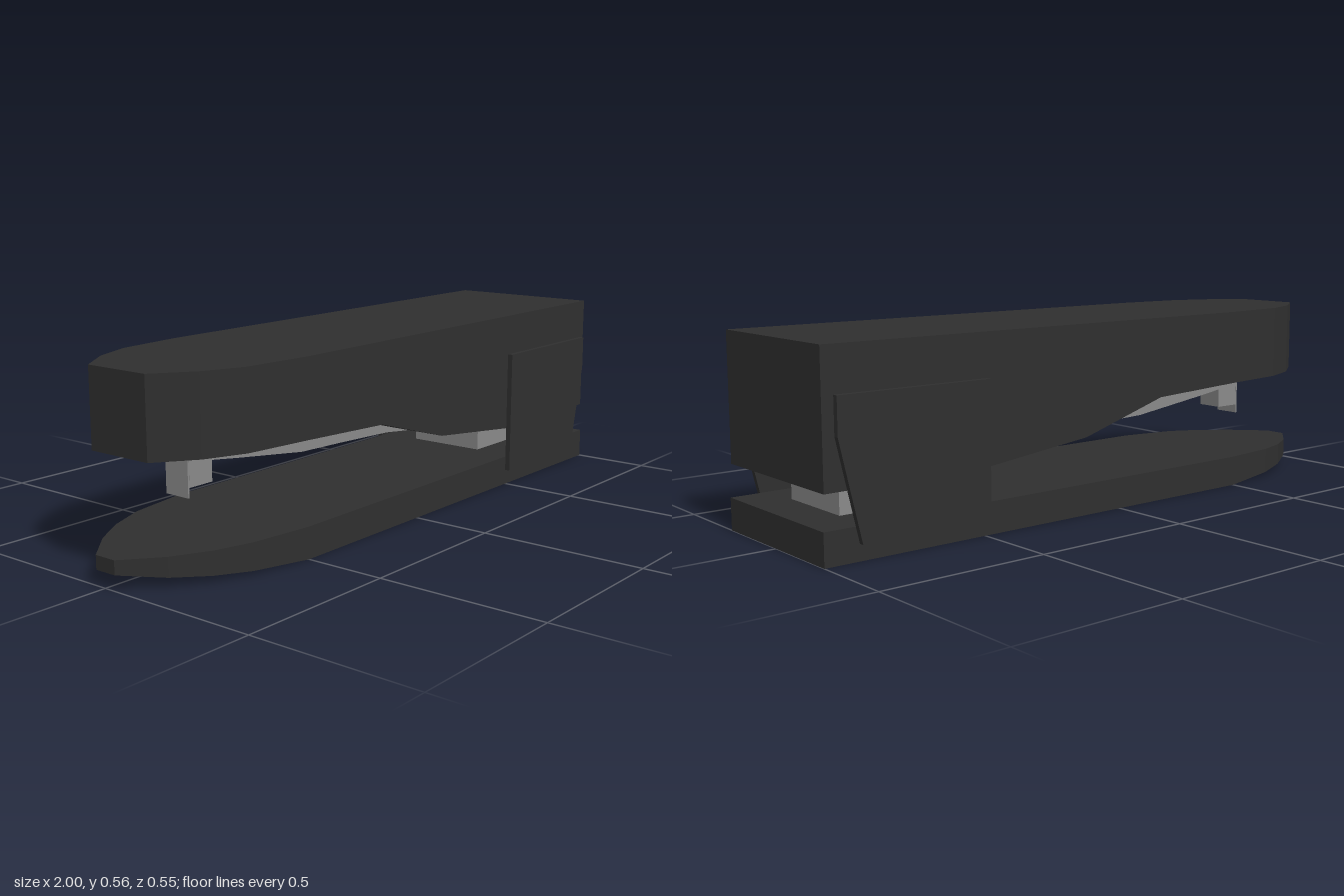
import * as THREE from 'three';

const charcoal = new THREE.MeshStandardMaterial({ name: 'charcoal', color: 0x2f2f2f });
const steel = new THREE.MeshStandardMaterial({ name: 'steelGrey', color: 0x8a8a8a });

// Joins rectangular cross-sections [x, bottom, top, halfWidth] along x.
function loft(sections) {
  const pos = [];
  const rings = sections.map(([x, y0, y1, w]) => [[x, y0, -w], [x, y0, w], [x, y1, w], [x, y1, -w]]);
  const quad = (a, b, c, d) => [a, b, c, a, c, d].forEach((p) => pos.push(...p));
  for (let i = 0; i < rings.length - 1; i++) {
    const a = rings[i], b = rings[i + 1];
    for (let k = 0; k < 4; k++) {
      const n = (k + 1) % 4;
      quad(a[k], b[k], b[n], a[n]);
    }
  }
  quad(...rings[0]);
  quad(...rings[rings.length - 1].slice().reverse());
  const geo = new THREE.BufferGeometry();
  geo.setAttribute('position', new THREE.Float32BufferAttribute(pos, 3));
  geo.computeVertexNormals();
  return geo;
}

export function createModel() {
  const group = new THREE.Group();
  const add = (name, geometry, material, x = 0, y = 0, z = 0) => {
    const mesh = new THREE.Mesh(geometry, material);
    mesh.name = name;
    mesh.position.set(x, y, z);
    group.add(mesh);
    return mesh;
  };

  // Base with a tapered, upturned nose
  add('base', loft([
    [-1, 0.043, 0.083, 0.035],
    [-0.9, 0.029, 0.085, 0.125],
    [-0.8, 0.02, 0.088, 0.185],
    [-0.69, 0.012, 0.091, 0.225],
    [-0.5, 0, 0.093, 0.253],
    [1, 0, 0.093, 0.253],
  ]), charcoal, 0, 0, 0.003);

  // Upper handle with a stepped underside
  add('handle', loft([
    [-0.94, 0.335, 0.56, 0.105],
    [-0.83, 0.335, 0.56, 0.185],
    [-0.71, 0.335, 0.56, 0.232],
    [-0.5, 0.333, 0.56, 0.251],
    [-0.17, 0.318, 0.56, 0.251],
    [0.13, 0.23, 0.56, 0.251],
    [0.5, 0.188, 0.56, 0.251],
    [0.995, 0.188, 0.56, 0.251],
  ]), charcoal, 0, 0, 0.003);

  // Narrow staple rail, its front foot and the thin driver blade
  add('stapleRail', loft([
    [-0.735, 0.215, 0.34, 0.042],
    [-0.65, 0.215, 0.34, 0.042],
    [-0.649, 0.275, 0.34, 0.042],
    [-0.55, 0.261, 0.332, 0.042],
    [-0.28, 0.226, 0.296, 0.042],
    [-0.1, 0.22, 0.286, 0.042],
    [0.13, 0.21, 0.265, 0.042],
    [0.5, 0.168, 0.22, 0.042],
    [0.6, 0.155, 0.21, 0.042],
  ]), steel);
  add('driverBlade', new THREE.BoxGeometry(0.005, 0.15, 0.084), steel, -0.738, 0.262, 0);

  // Hinge block between base and handle
  add('hingeBlock', new THREE.BoxGeometry(0.36, 0.12, 0.255), steel, 0.7, 0.145, 0.003);

  // Hinge cover on each side
  const cover = new THREE.Shape([
    [0.495, 0.048], [0.9, 0.048], [0.965, 0.33], [0.965, 0.435], [0.495, 0.435],
  ].map(([x, y]) => new THREE.Vector2(x, y)));
  const coverGeo = new THREE.ExtrudeGeometry(cover, { depth: 0.016, bevelEnabled: false });
  add('leftHingeCover', coverGeo, charcoal, 0, 0, 0.257);
  add('rightHingeCover', coverGeo, charcoal, 0, 0, -0.272);

  return group;
}
